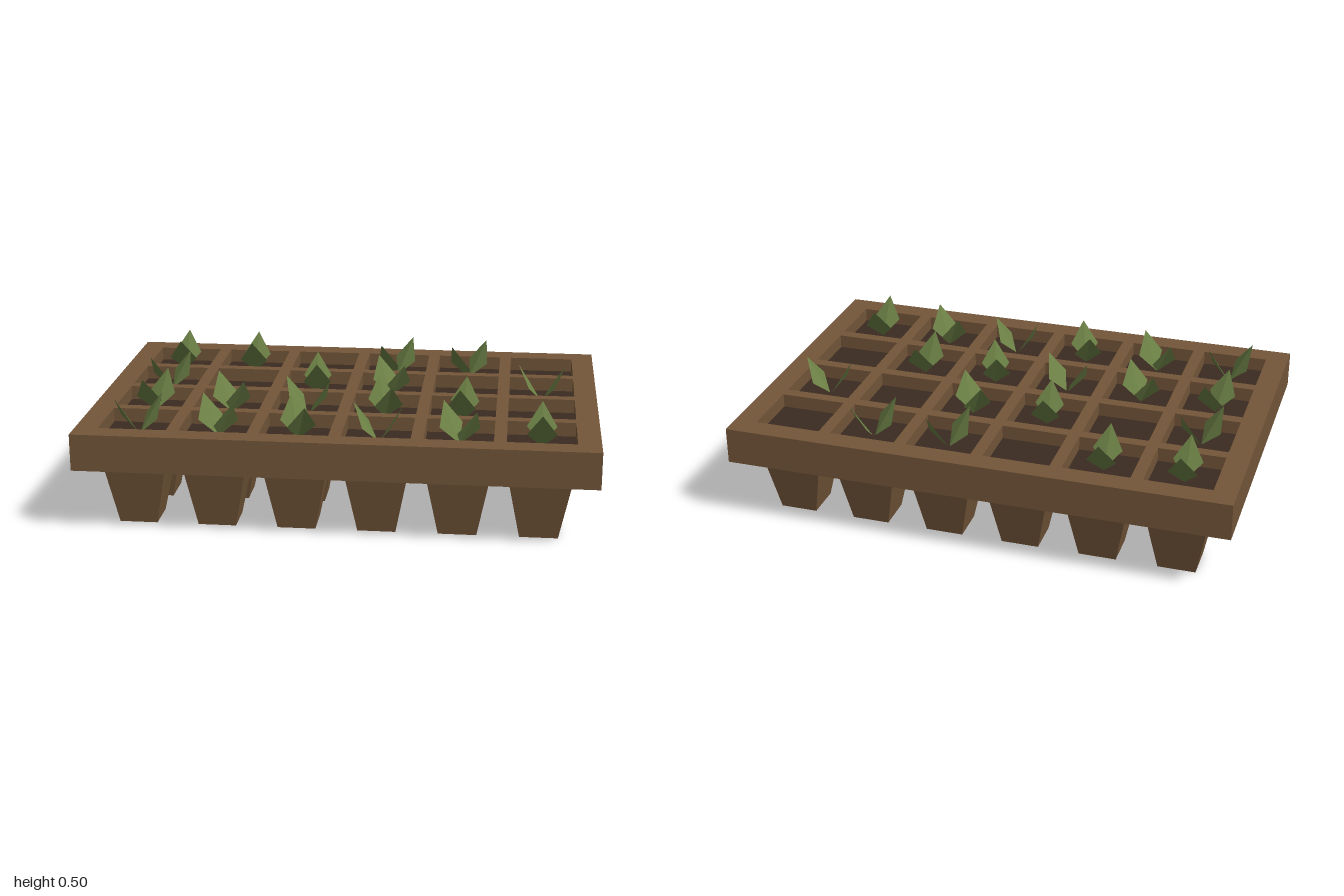
import * as THREE from 'three';

const COL = 0.3115, ROW = 0.3;          // cell pitch
const HOLE_X = 0.264, HOLE_Z = 0.254;   // cell opening
const TOP = 0.4, RIM = 0.255, SOIL = 0.345;

// Heading of each seedling, by row (back to front) and column; null = empty cell
const SEEDLINGS = [
  [0, 0, null, -0.7, -0.83, null],
  [-0.83, null, 0.1, 0.65, null, 1.57],
  [-0.34, 0.71, 1.21, 0.34, -0.1, null],
  [-1.0, 0.79, 0.4, 1.45, 0.75, 0],
];

function add(parent, name, geometry, material, x = 0, y = 0, z = 0) {
  const mesh = new THREE.Mesh(geometry, material);
  mesh.name = name;
  mesh.position.set(x, y, z);
  parent.add(mesh);
  return mesh;
}

function rectPath(path, cx, cy, w, h) {
  path.moveTo(cx - w / 2, cy - h / 2);
  path.lineTo(cx + w / 2, cy - h / 2);
  path.lineTo(cx + w / 2, cy + h / 2);
  path.lineTo(cx - w / 2, cy + h / 2);
  path.closePath();
  return path;
}

// Kite-shaped leaf folded along its spine, leaning out toward +z
function leafGeometry() {
  const base = [0, 0, 0.004], tip = [0, 0.15, 0.098];
  const left = [0.058, 0.062, 0.052], right = [-0.058, 0.062, 0.052];
  const geometry = new THREE.BufferGeometry();
  geometry.setAttribute('position', new THREE.Float32BufferAttribute(
    [base, tip, left, base, right, tip].flat(), 3));
  geometry.computeVertexNormals();
  return geometry;
}

export function createModel() {
  const group = new THREE.Group();
  group.name = 'seedlingTray';

  const brown = new THREE.MeshStandardMaterial({ color: 0x735639 });
  brown.name = 'tray brown';
  const earth = new THREE.MeshStandardMaterial({ color: 0x3b2b21 });
  earth.name = 'soil brown';
  const green = new THREE.MeshStandardMaterial({ color: 0x6b8045, side: THREE.DoubleSide });
  green.name = 'leaf green';

  const cells = [];
  SEEDLINGS.forEach((row, r) => row.forEach((yaw, c) =>
    cells.push({ x: (c - 2.5) * COL, z: (r - 1.5) * ROW, yaw })));

  // Tray slab with a grid of openings
  const outline = rectPath(new THREE.Shape(), 0, 0, 2, 1.334);
  for (const { x, z } of cells) outline.holes.push(rectPath(new THREE.Path(), x, -z, HOLE_X, HOLE_Z));
  const trayGeo = new THREE.ExtrudeGeometry(outline, { depth: TOP - RIM, bevelEnabled: false });
  trayGeo.rotateX(-Math.PI / 2);
  add(group, 'tray', trayGeo, brown, 0, RIM, 0);

  // Square tapered pot, closed underside of the cell, soil and leaf
  const potGeo = new THREE.CylinderGeometry(0.123 * Math.SQRT2, 0.074 * Math.SQRT2, RIM, 4).toNonIndexed();
  potGeo.rotateY(Math.PI / 4);
  potGeo.computeVertexNormals();
  const floorGeo = new THREE.PlaneGeometry(HOLE_X, HOLE_Z).rotateX(Math.PI / 2);
  const soilGeo = new THREE.PlaneGeometry(HOLE_X, HOLE_Z).rotateX(-Math.PI / 2);
  const leafGeo = leafGeometry();

  for (const { x, z, yaw } of cells) {
    add(group, 'pot', potGeo, brown, x, RIM / 2, z);
    add(group, 'cellUnderside', floorGeo, brown, x, RIM, z);
    add(group, 'soil', soilGeo, earth, x, SOIL, z);
    if (yaw === null) continue;
    const seedling = new THREE.Group();
    seedling.name = 'seedling';
    seedling.position.set(x, SOIL, z);
    seedling.rotation.y = yaw;
    for (const turn of [0, Math.PI]) add(seedling, 'leaf', leafGeo, green).rotation.y = turn;
    group.add(seedling);
  }
  return group;
}
